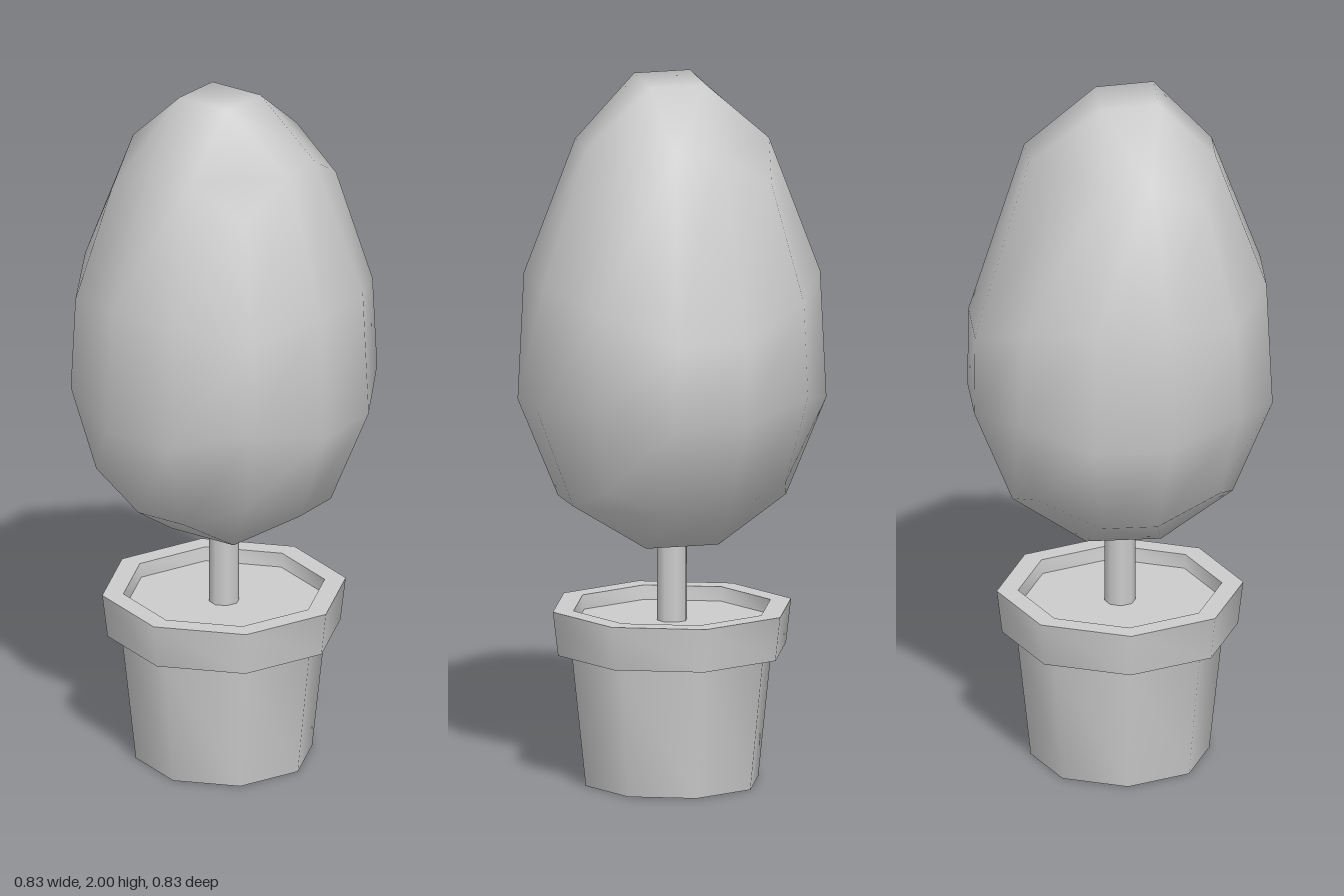
import * as THREE from 'three';
import { mergeVertices, toCreasedNormals } from 'three/addons/utils/BufferGeometryUtils.js';

// Linear interpolation through [input, output] pairs
function ramp(pairs, t) {
  for (let i = 1; i < pairs.length; i++) {
    const [a, va] = pairs[i - 1], [b, vb] = pairs[i];
    if (t <= b) return va + (vb - va) * Math.max(0, (t - a) / (b - a));
  }
  return pairs[pairs.length - 1][1];
}

// Egg-shaped crown: a 3x3-per-face box rounded to a ball, then stretched and tapered
function crownGeometry() {
  const radius = 0.443;
  const height = [[-0.942, 0.688], [-0.696, 0.815], [-0.237, 1.09], [0.237, 1.45], [0.696, 1.83], [0.942, 2]];
  const taper = [[-0.237, 1], [0.237, 0.96], [0.696, 0.85], [0.942, 0.77]];
  const box = new THREE.BoxGeometry(2, 2, 2, 3, 3, 3);
  box.deleteAttribute('uv');
  box.deleteAttribute('normal');
  const geometry = mergeVertices(box);
  const pos = geometry.attributes.position;
  const even = (c) => (Math.abs(c) > 0.9 ? c : Math.sign(c) * 0.251);
  const v = new THREE.Vector3();
  for (let i = 0; i < pos.count; i++) {
    v.fromBufferAttribute(pos, i);
    v.set(even(v.x), even(v.y), even(v.z)).normalize();
    const s = radius * ramp(taper, v.y);
    let x = v.x * s, y = ramp(height, v.y), z = v.z * s;
    // The back bulges lower, and the tip leans forward
    if (v.z < -0.9 && v.y > 0) { y = 1.32; z = -0.415; }
    if (v.y > 0.9) { z += 0.02; if (v.z < 0) y = 1.99; }
    pos.setXYZ(i, x, y, z);
  }
  geometry.computeVertexNormals();
  return geometry;
}

export function createModel() {
  const grey = new THREE.MeshStandardMaterial({ color: 0xcccccc });
  grey.name = 'plain grey';
  const group = new THREE.Group();
  group.name = 'pottedTree';
  const add = (name, geometry) => {
    const mesh = new THREE.Mesh(geometry, grey);
    mesh.name = name;
    group.add(mesh);
    return mesh;
  };
  const lathe = (points) => toCreasedNormals(
    new THREE.LatheGeometry(points.map(([r, y]) => new THREE.Vector2(r, y)), 8), 0.9);

  // Eight-sided pot with a thick collar
  add('pot', lathe([[0, 0], [0.25, 0], [0.29, 0.375], [0.33, 0.375],
    [0.345, 0.5], [0.285, 0.5], [0.28, 0.46]]));

  // Soil inside the collar
  add('soil', lathe([[0.281, 0.46], [0, 0.46]]));

  // Trunk from soil into the crown
  add('trunk', new THREE.CylinderGeometry(0.043, 0.043, 0.3, 8, 1, true)).position.y = 0.6;

  add('crown', crownGeometry());
  return group;
}
